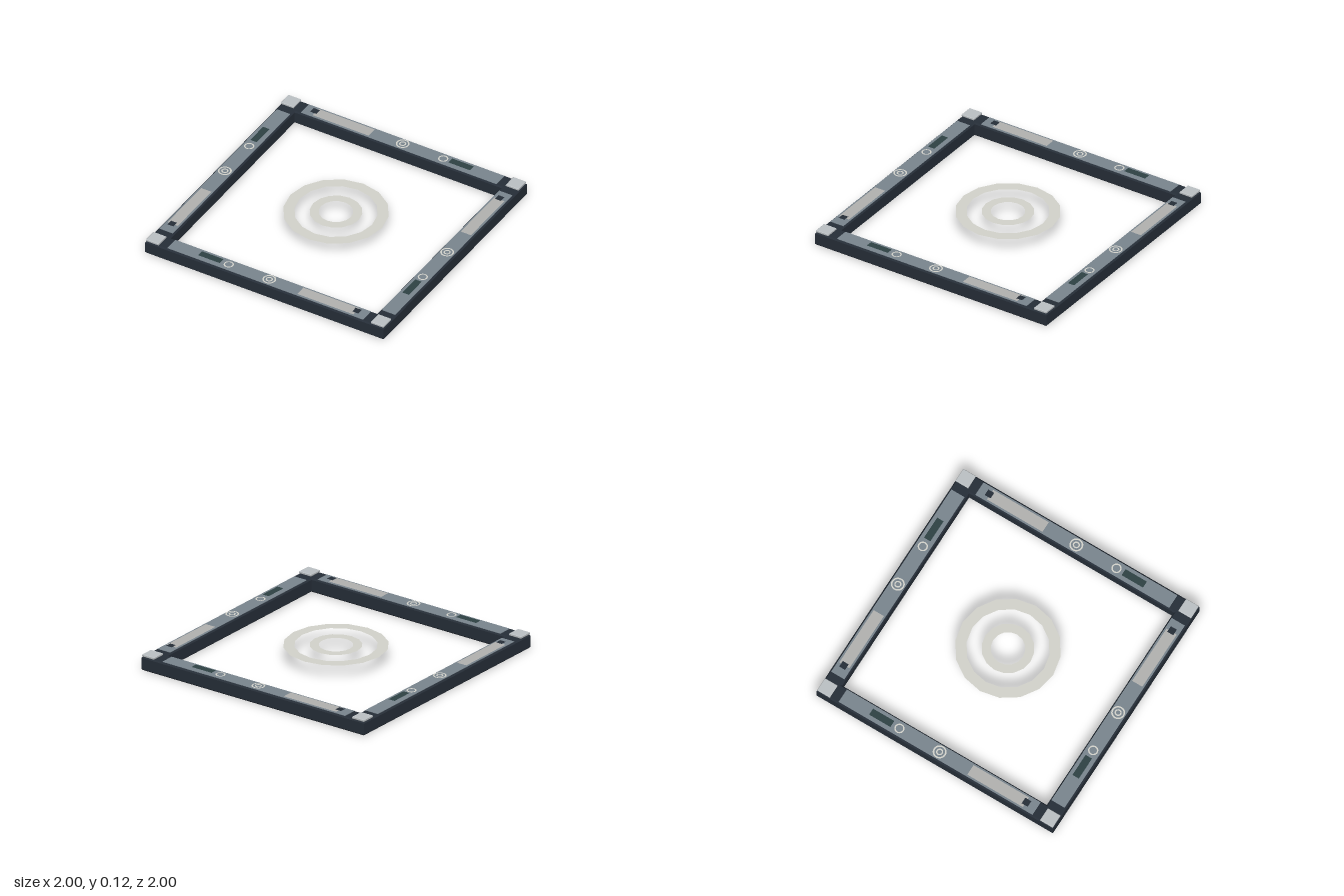
import * as THREE from 'three';

const mat = (color, side = THREE.FrontSide) => new THREE.MeshStandardMaterial({ color, side, flatShading: true });
const dark = mat(0x262e38);
const slate = mat(0x7a868f);
const metal = mat(0xbcc1c4);
const pale = mat(0xb2b2b0, THREE.DoubleSide);
const green = mat(0x2e4244, THREE.DoubleSide);
const darkFlat = mat(0x262e38, THREE.DoubleSide);
const ivory = mat(0xd4d4cc, THREE.DoubleSide);

function add(parent, name, geometry, material, x = 0, y = 0, z = 0) {
  const mesh = new THREE.Mesh(geometry, material);
  mesh.name = name;
  mesh.position.set(x, y, z);
  parent.add(mesh);
  return mesh;
}

const flat = (w, d) => new THREE.PlaneGeometry(w, d).rotateX(-Math.PI / 2);
const ring = (inner, outer, sides) => new THREE.RingGeometry(inner, outer, sides).rotateX(-Math.PI / 2);

function square(path, r) {
  path.moveTo(-r, -r);
  path.lineTo(r, -r);
  path.lineTo(r, r);
  path.lineTo(-r, r);
  path.closePath();
  return path;
}

// Square frame lying flat, with bevelled edges
function frameGeometry(outer, inner, height, bevel) {
  const shape = square(new THREE.Shape(), outer);
  shape.holes.push(square(new THREE.Path(), inner));
  const g = new THREE.ExtrudeGeometry(shape, {
    depth: height - 2 * bevel, bevelEnabled: true, bevelThickness: bevel,
    bevelSize: bevel, bevelOffset: -bevel, bevelSegments: 1,
  });
  return g.rotateX(-Math.PI / 2).translate(0, bevel, 0);
}

// Corner cap with bevelled edges
function capGeometry(size, height, bevel) {
  const g = new THREE.ExtrudeGeometry(square(new THREE.Shape(), size / 2), {
    depth: height - 2 * bevel, bevelEnabled: true, bevelThickness: bevel,
    bevelSize: bevel, bevelOffset: -bevel, bevelSegments: 1,
  });
  return g.rotateX(-Math.PI / 2).translate(0, bevel, 0);
}

// Fittings along one rail (built on the back rail)
function createRailDetails() {
  const rail = new THREE.Group();
  rail.name = 'railDetails';
  const z = -0.932;
  add(rail, 'topPlate', new THREE.BoxGeometry(1.64, 0.008, 0.112), slate, 0, 0.106, z);
  add(rail, 'palePanel', flat(0.47, 0.086), pale, -0.495, 0.1125, z);
  add(rail, 'darkSquare', flat(0.05, 0.05), darkFlat, -0.735, 0.12, z);
  add(rail, 'greenPanel', flat(0.18, 0.054), green, 0.49, 0.12, z);
  add(rail, 'outerDial', ring(0.039, 0.05, 28), ivory, 0, 0.114, z);
  add(rail, 'innerDial', ring(0.016, 0.026, 24), ivory, 0, 0.114, z);
  add(rail, 'sideDial', ring(0.027, 0.037, 24), ivory, 0.34, 0.114, z);
  add(rail, 'cornerCap', capGeometry(0.107, 0.019, 0.004), metal, -0.943, 0.106, -0.943);
  return rail;
}

export function createModel() {
  const model = new THREE.Group();
  model.name = 'squareFrame';

  add(model, 'frameBody', frameGeometry(1, 0.866, 0.107, 0.01), dark);

  // The same fittings repeat around the four rails
  for (let i = 0; i < 4; i++) {
    const rail = createRailDetails();
    rail.rotation.y = -i * Math.PI / 2;
    model.add(rail);
  }

  // Two floating rings in the middle
  add(model, 'largeCentreRing', ring(0.302, 0.383, 16), ivory, 0, 0.113, 0);
  add(model, 'smallCentreRing', ring(0.125, 0.191, 16), ivory, 0, 0.113, 0);

  return model;
}
